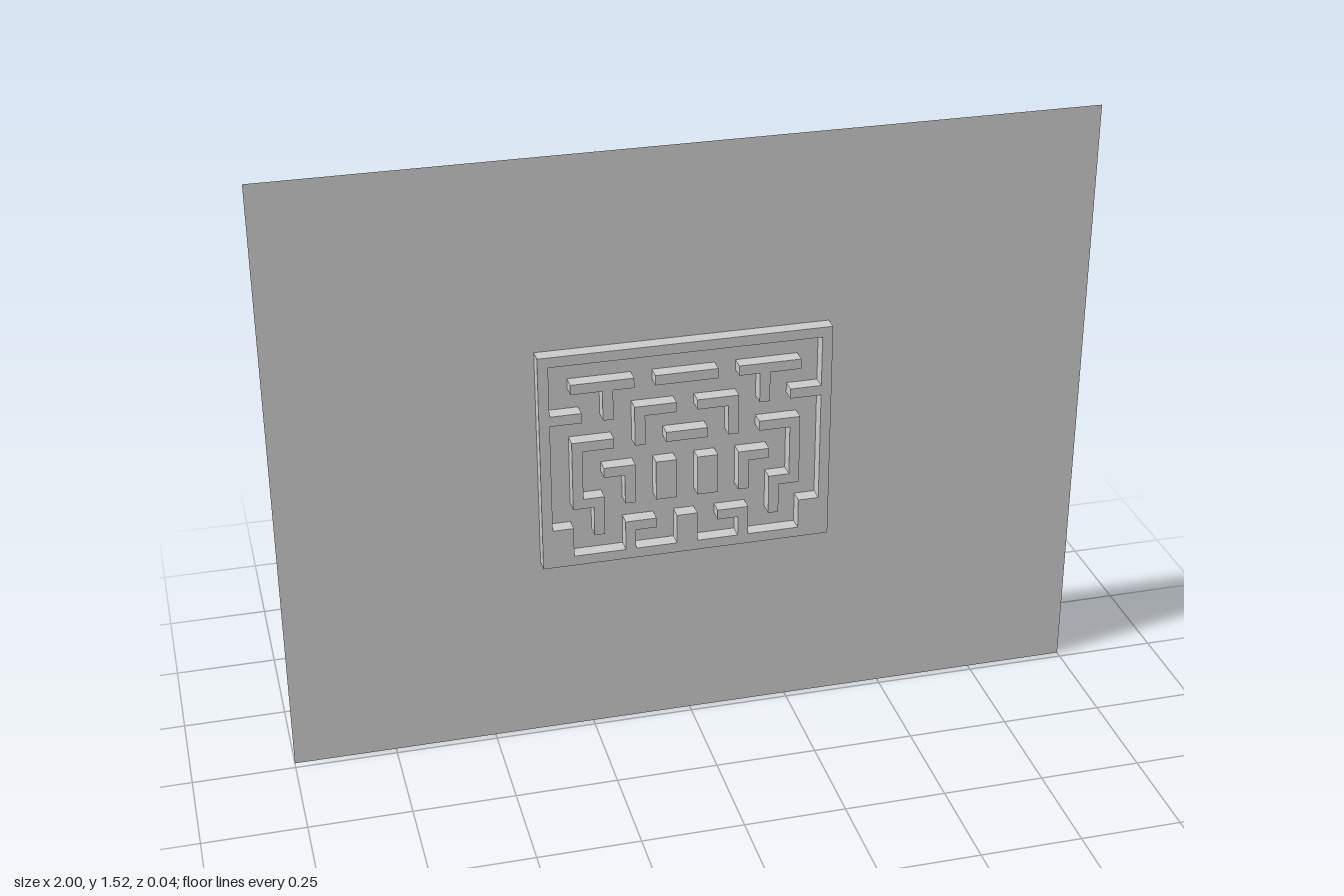
import * as THREE from 'three';

const U = 0.0255;               // maze grid unit
const CX = -0.015, CY = 0.76;   // maze centre on the panel
const W = 2, H = 1.52;          // panel size
const D = 0.036;                // wall depth
const material = new THREE.MeshStandardMaterial({ color: 0xcccccc, side: THREE.DoubleSide });

const toPoints = (pts) => pts.map(([x, y]) => new THREE.Vector2(CX + x * U, CY + y * U));
const rect = (x0, y0, x1, y1) => [[x0, y0], [x1, y0], [x1, y1], [x0, y1]];
const mirror = (pts) => pts.map(([x, y]) => [-x, y]).reverse();

// Extrude a wall forward from the panel, leaving its back open
function raise(shape) {
  const solid = new THREE.ExtrudeGeometry(shape, { depth: D, bevelEnabled: false });
  const p = solid.attributes.position, n = solid.attributes.normal;
  const pos = [];
  for (let i = 0; i < p.count; i += 3) {
    if (n.getZ(i) < -0.5) continue;
    for (let k = i; k < i + 3; k++) pos.push(p.getX(k), p.getY(k), p.getZ(k) - D / 2);
  }
  const geometry = new THREE.BufferGeometry();
  geometry.setAttribute('position', new THREE.Float32BufferAttribute(pos, 3));
  geometry.computeVertexNormals();
  return geometry;
}

export function createModel() {
  const model = new THREE.Group();
  const add = (name, geometry) => {
    const mesh = new THREE.Mesh(geometry, material);
    mesh.name = name;
    model.add(mesh);
    return mesh;
  };

  // Thin back panel, cut open behind the hollow frame
  const panel = new THREE.Shape([[-1, 0], [1, 0], [1, H], [-1, H]].map(([x, y]) => new THREE.Vector2(x * W / 2, y)));
  panel.holes.push(new THREE.Path(toPoints(rect(-14, -11, 14, 11))));
  const floor = new THREE.Shape(toPoints(rect(-13, -10, 13, 10)));
  add('backPanel', new THREE.ShapeGeometry(panel)).position.z = -D / 2;
  add('mazeFloor', new THREE.ShapeGeometry(floor)).position.z = -D / 2;

  // Outer frame with the stubs that grow out of it
  const innerLeft = [
    [-13, 10], [-13, 5], [-10, 5], [-10, 4], [-13, 4], [-13, -7], [-11, -7], [-11, -10],
    [-6, -10], [-6, -7], [-3, -7], [-3, -8], [-5, -8], [-5, -10], [-1, -10], [-1, -7],
  ];
  const frame = new THREE.Shape(toPoints(rect(-14, -11, 14, 11)));
  frame.holes.push(new THREE.Path(toPoints([...innerLeft, ...mirror(innerLeft)])));
  add('mazeFrame', raise(frame));

  // Free-standing walls, mirrored about the maze centre
  const pairs = {
    teeWall: [[-11, 8], [-11, 7], [-8, 7], [-8, 4], [-7, 4], [-7, 7], [-5, 7], [-5, 8]],
    upperHookWall: [[-5, 5], [-5, 1], [-4, 1], [-4, 4], [-1, 4], [-1, 5]],
    steppedWall: [[-11, 2], [-11, -5], [-9, -5], [-9, -8], [-8, -8], [-8, -4], [-10, -4], [-10, 1], [-7, 1], [-7, 2]],
    lowerHookWall: [[-8, -1], [-8, -2], [-6, -2], [-6, -5], [-5, -5], [-5, -1]],
    blockWall: rect(-3, -5, -1, -1),
  };
  for (const [name, pts] of Object.entries(pairs)) {
    add(name + 'Right', raise(new THREE.Shape(toPoints(pts))));
    add(name + 'Left', raise(new THREE.Shape(toPoints(mirror(pts)))));
  }

  // Centre bars
  add('topBarWall', raise(new THREE.Shape(toPoints(rect(-3, 7, 3, 8)))));
  add('middleBarWall', raise(new THREE.Shape(toPoints(rect(-2, 1, 2, 2)))));

  return model;
}
